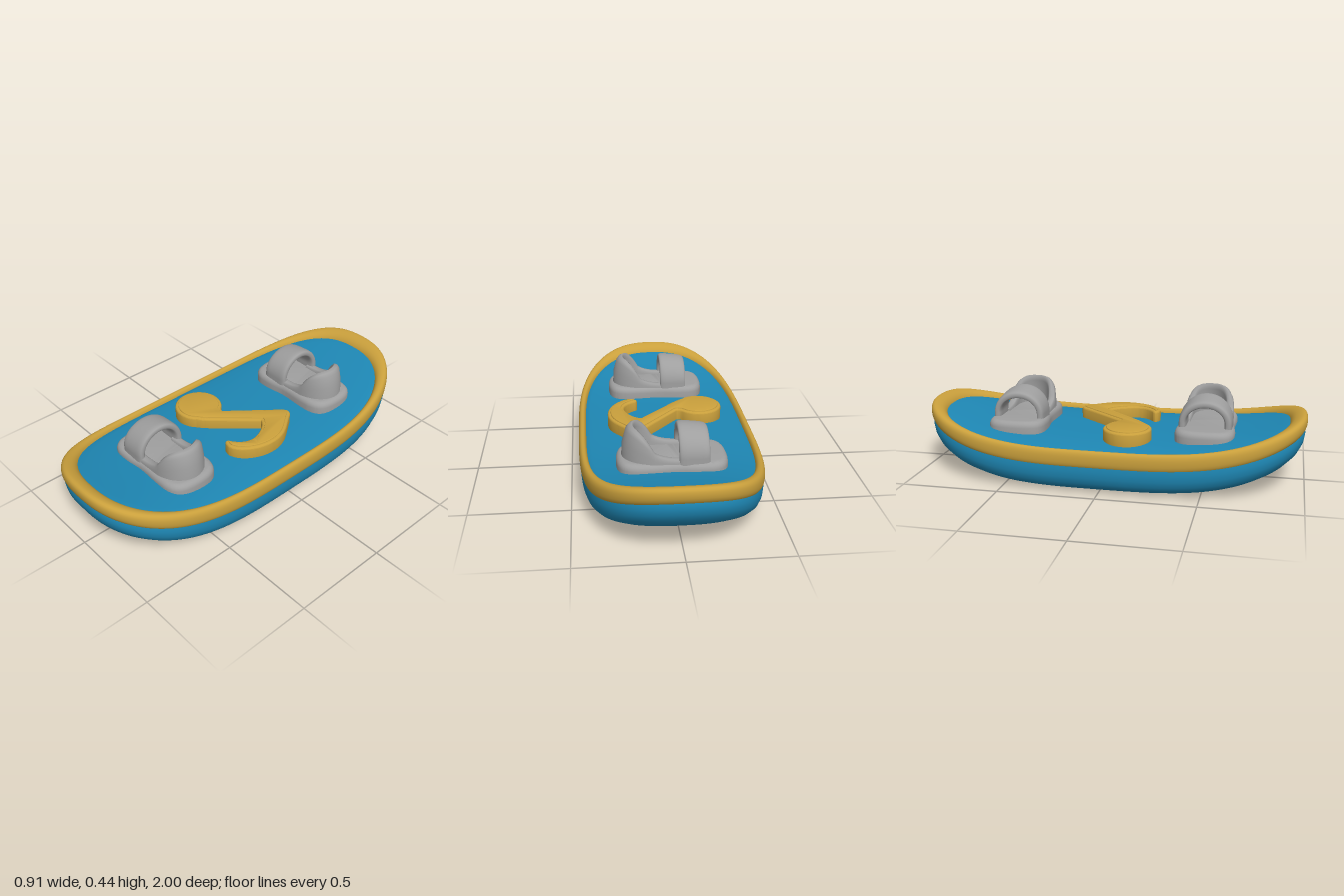
import * as THREE from 'three';
import { toCreasedNormals } from 'three/addons/utils/BufferGeometryUtils.js';

const flat = (name, color) => {
  const m = new THREE.MeshStandardMaterial({ color });
  m.name = name;
  return m;
};

// Smooth surface through rings of points; either direction may be closed
function loft(rings, closeRings, closePoints) {
  const n = rings[0].length, m = rings.length, index = [];
  for (let i = 0; i < (closeRings ? m : m - 1); i++) {
    for (let j = 0; j < (closePoints ? n : n - 1); j++) {
      const i2 = (i + 1) % m, j2 = (j + 1) % n;
      const a = i * n + j, b = i2 * n + j, c = i2 * n + j2, d = i * n + j2;
      index.push(a, b, c, a, c, d);
    }
  }
  const g = new THREE.BufferGeometry();
  g.setAttribute('position', new THREE.Float32BufferAttribute(rings.flat(2), 3));
  g.setIndex(index);
  g.computeVertexNormals();
  return g;
}

const power = (v, e) => Math.sign(v) * Math.abs(v) ** e;

// Board outline (round ends, straight sides) at a given scale, bent upward toward both ends
const rise = z => 0.15 * Math.abs(z) ** 3.2;
function outline(scale, y) {
  const ring = [];
  for (let j = 0; j < 180; j++) {
    const a = (j / 180) * Math.PI * 2;
    const x = 0.457 * scale * power(Math.cos(a), 0.82), z = -scale * power(Math.sin(a), 0.58);
    ring.push([x, y + rise(z), z]);
  }
  return ring;
}

const extrude = (shape, depth, bevel, thickness, inset = 0) => new THREE.ExtrudeGeometry(shape, {
  depth, bevelEnabled: true, bevelSize: bevel, bevelOffset: -bevel - inset,
  bevelThickness: thickness, bevelSegments: 5, curveSegments: 20,
}).rotateX(Math.PI / 2);

// Eighth note drawn in x and z
function noteShape() {
  const s = new THREE.Shape();
  s.moveTo(-0.07, 0.038);
  s.lineTo(0.125, -0.195);
  s.quadraticCurveTo(0.168, -0.25, 0.2, -0.195);
  s.bezierCurveTo(0.25, -0.12, 0.3, -0.08, 0.3, 0.02);
  s.bezierCurveTo(0.299, 0.12, 0.24, 0.205, 0.18, 0.216);
  s.quadraticCurveTo(0.12, 0.21, 0.138, 0.182);
  s.bezierCurveTo(0.2, 0.15, 0.222, 0.1, 0.205, 0.05);
  s.bezierCurveTo(0.19, 0, 0.16, -0.04, 0.13, -0.054);
  s.lineTo(-0.05, 0.142);
  s.quadraticCurveTo(-0.085, 0.178, -0.107, 0.19);
  s.absarc(-0.194, 0.103, 0.124, Math.PI / 4, Math.PI * 1.8, false);
  s.quadraticCurveTo(-0.085, 0.038, -0.07, 0.038);
  return s;
}

// Rounded, slightly waisted sole
function soleShape() {
  const s = new THREE.Shape();
  s.moveTo(-0.17, -0.15);
  s.bezierCurveTo(-0.08, -0.157, -0.05, -0.14, 0, -0.14);
  s.bezierCurveTo(0.06, -0.14, 0.1, -0.148, 0.18, -0.144);
  s.bezierCurveTo(0.25, -0.135, 0.278, -0.1, 0.278, 0);
  s.bezierCurveTo(0.278, 0.1, 0.25, 0.135, 0.18, 0.144);
  s.bezierCurveTo(0.1, 0.148, 0.06, 0.14, 0, 0.14);
  s.bezierCurveTo(-0.05, 0.14, -0.08, 0.157, -0.17, 0.15);
  s.bezierCurveTo(-0.235, 0.14, -0.255, 0.1, -0.255, 0);
  s.bezierCurveTo(-0.255, -0.1, -0.235, -0.14, -0.17, -0.15);
  return s;
}

// Arched strap: a rounded band swept over the boot opening, its top tilted
function strapGeometry() {
  const rings = [];
  for (let i = 0; i < 24; i++) {
    const a = (-i / 24) * Math.PI * 2;
    const x = 0.073 * power(Math.cos(a), 0.5), r = 0.02 * power(Math.sin(a), 0.6);
    const ring = [[x - 0.085, 0.24, 0.116 + r]];
    for (let j = 0; j <= 28; j++) {
      const t = (j / 28) * Math.PI, up = Math.sin(t);
      ring.push([x - 0.085, 0.31 + (0.106 + r + 0.13 * x) * up, (0.116 + r) * Math.cos(t)]);
    }
    ring.push([x - 0.085, 0.24, -0.116 - r]);
    rings.push(ring);
  }
  return loft(rings, true, false);
}

// Heel cup: a wall along a U, tall at the back and low along the side rails
function heelGeometry() {
  const profile = [[0.046, 0], [0.043, 0.5], [0.041, 0.82], [0.035, 0.95], [0.022, 1],
    [0.009, 0.96], [0.002, 0.86], [0, 0.5], [-0.002, 0]];
  const rings = profile.map(([inset, t]) => {
    const ring = [];
    const add = (x, z, h, lean) => ring.push([x - lean * t ** 3, 0.27 + h * t, z]);
    const leg = (i, side) => {
      const k = i / 8;
      add(-0.05 + 0.15 * k, side * (0.128 - inset), 0.035 + 0.03 * k ** 3, 0);
    };
    for (let i = 0; i < 8; i++) leg(i, 1);
    for (let i = 0; i <= 32; i++) {
      const a = (i / 32 - 0.5) * Math.PI;
      const c = Math.max(0, Math.cos(a));
      add(0.1 + (0.152 - inset) * c, -(0.128 - inset) * Math.sin(a),
        0.065 + 0.106 * (1 - (1 - c) ** 1.8), 0.03 * c);
    }
    for (let i = 7; i >= 0; i--) leg(i, -1);
    return ring;
  });
  return loft(rings, false, false);
}

export function createModel() {
  const group = new THREE.Group();
  group.name = 'snowboard';
  const blue = flat('board blue', 0x1e87b4);
  const gold = flat('trim gold', 0xcaa03c);
  const grey = flat('binding grey', 0x9f9f9f);
  const add = (parent, name, geometry, material) => {
    const mesh = new THREE.Mesh(geometry, material);
    mesh.name = name;
    parent.add(mesh);
    return mesh;
  };

  // Board body: from deck centre outward, down the side and under to the middle
  const body = [[0, 0.225], [0.15, 0.225], [0.3, 0.224], [0.45, 0.222], [0.6, 0.218], [0.75, 0.212],
    [0.87, 0.204], [0.93, 0.198], [0.97, 0.18], [0.984, 0.145], [0.99, 0.115], [0.984, 0.083],
    [0.965, 0.053], [0.93, 0.03], [0.88, 0.014], [0.8, 0.005], [0.68, 0.002],
    [0.5, 0], [0.33, 0], [0.16, 0], [0, 0]];
  add(group, 'board', loft(body.map(([s, y]) => outline(s, y)), false, true), blue);

  // Rounded trim around the edge
  const trim = [];
  for (let i = 0; i < 24; i++) {
    const a = (-i / 24) * Math.PI * 2;
    trim.push(outline(0.955 + 0.045 * power(Math.cos(a), 0.85), 0.177 + 0.046 * power(Math.sin(a), 0.85)));
  }
  add(group, 'edgeTrim', loft(trim, true, true), gold);

  // Raised note on the deck with an inset top panel
  const note = extrude(noteShape(), 0.07, 0.014, 0.01).translate(0, 0.273, 0);
  add(group, 'noteOrnament', toCreasedNormals(note, 0.6), gold);
  const panel = extrude(noteShape(), 0.02, 0.004, 0.004, 0.016).translate(0, 0.285, 0);
  add(group, 'notePanel', toCreasedNormals(panel, 0.6), gold);

  // Two bindings
  const sole = toCreasedNormals(
    extrude(soleShape(), 0.06, 0.03, 0.032).translate(0, 0.258, 0), 0.7);
  const strap = strapGeometry(), heel = heelGeometry();
  for (const [name, z] of [['frontBinding', 0.492], ['backBinding', -0.492]]) {
    const binding = new THREE.Group();
    binding.name = name;
    binding.position.z = z;
    add(binding, 'sole', sole, grey);
    add(binding, 'strap', strap, grey);
    add(binding, 'heelCup', heel, grey);
    group.add(binding);
  }
  return group;
}
